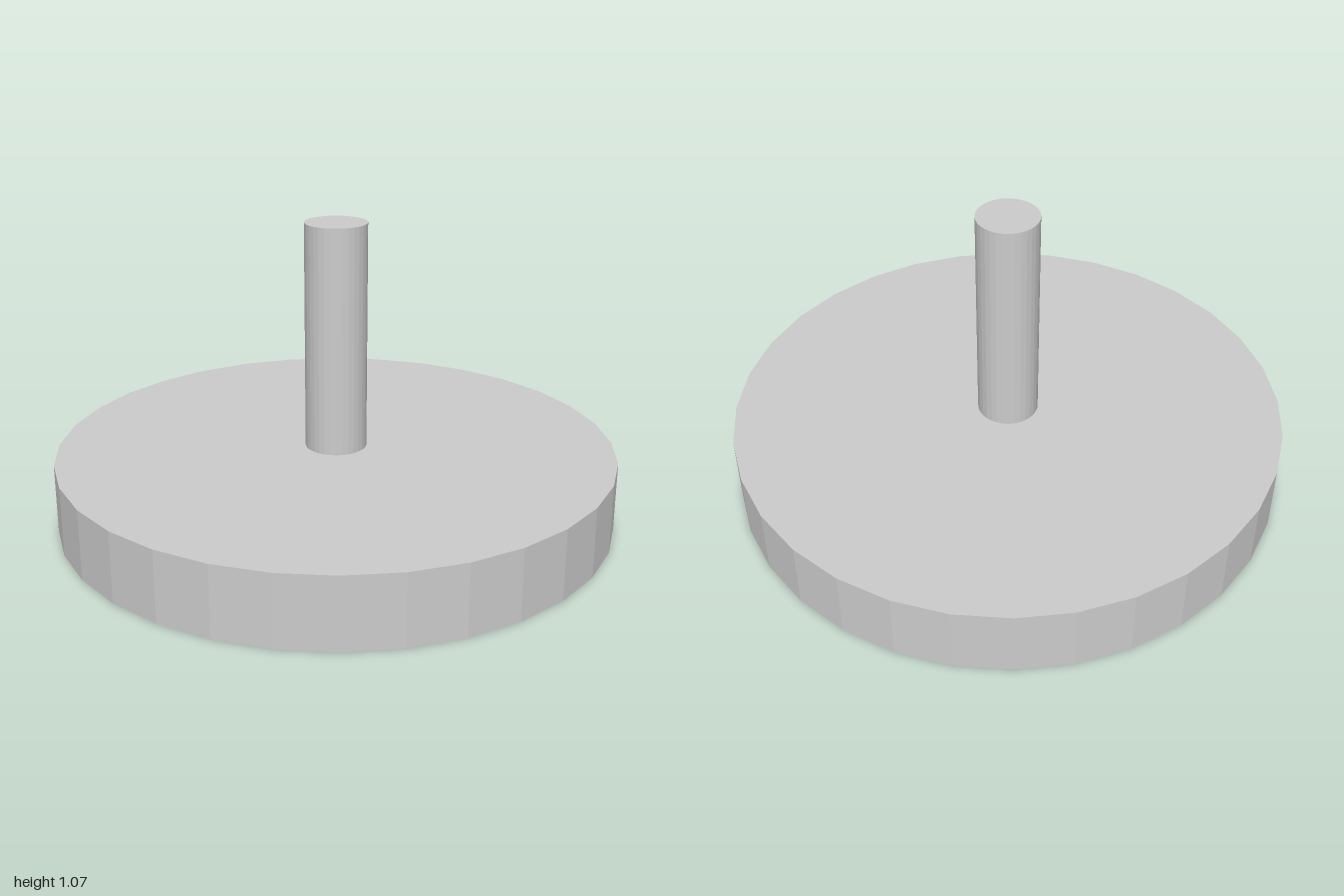
import * as THREE from 'three';

const SIDES = 32;

export function createModel() {
  const group = new THREE.Group();
  const material = new THREE.MeshStandardMaterial({ color: 0xcccccc, flatShading: true });

  // Upright faceted cylinder standing between two heights
  function addCylinder(name, radius, bottom, top) {
    const height = top - bottom;
    const mesh = new THREE.Mesh(new THREE.CylinderGeometry(radius, radius, height, SIDES), material);
    mesh.name = name;
    mesh.position.y = bottom + height / 2;
    group.add(mesh);
  }

  // Wide round base
  addCylinder('baseDisc', 1, 0, 0.25);

  // Slim central post
  addCylinder('post', 0.11, 0.25, 1.065);

  return group;
}
